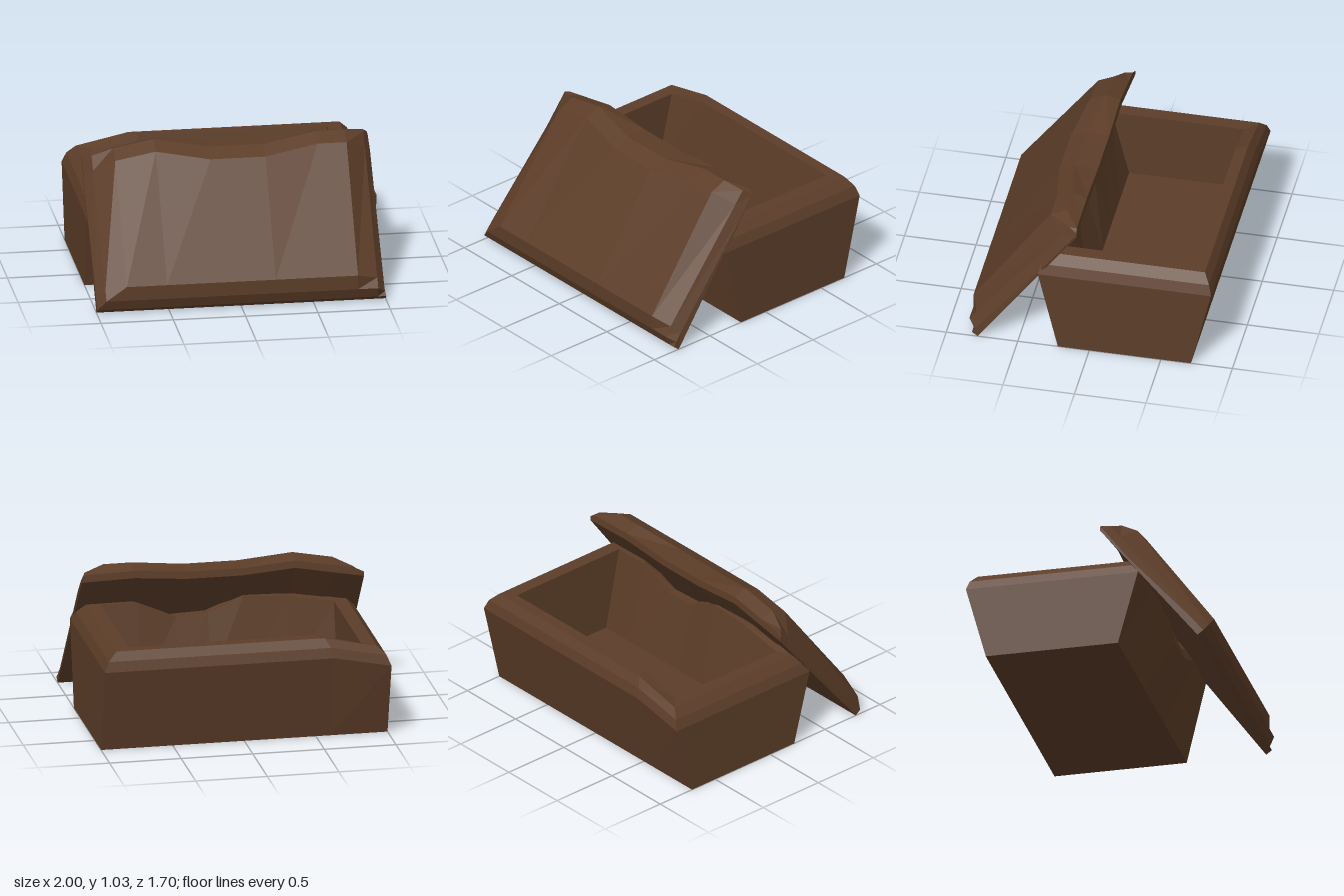
import * as THREE from 'three';

const material = new THREE.MeshStandardMaterial({ color: 0x5c3d28, flatShading: true });

// Collects triangles and turns them into a faceted mesh
function faceter(name) {
  const pos = [];
  const tri = (a, b, c) => pos.push(...a, ...b, ...c);
  const quad = (a, b, c, d) => { tri(a, b, c); tri(a, c, d); };
  // Strip of quads between two rows of points
  const strip = (lo, hi) => {
    for (let i = 0; i < lo.length - 1; i++) quad(lo[i], lo[i + 1], hi[i + 1], hi[i]);
  };
  const mesh = () => {
    const g = new THREE.BufferGeometry();
    g.setAttribute('position', new THREE.Float32BufferAttribute(pos, 3));
    g.computeVertexNormals();
    const m = new THREE.Mesh(g, material);
    m.name = name;
    return m;
  };
  return { tri, strip, mesh };
}

// Piecewise linear curve through [x, value] points
function curve(points, x) {
  for (let i = 1; i < points.length; i++) {
    const [x0, v0] = points[i - 1], [x1, v1] = points[i];
    if (x <= x1) return v0 + (v1 - v0) * Math.max(0, (x - x0) / (x1 - x0));
  }
  return points[points.length - 1][1];
}

// Open box: rings from the foot over the worn rim down to the inner floor
function makeBox() {
  const f = faceter('box');
  const xs = [-1, -0.6, -0.22, 0.08, 0.35, 0.68, 1];
  const frontWear = [[-1, 0.08], [-0.6, 0.02], [-0.22, 0], [0.08, 0.11], [0.35, 0.12], [0.68, 0], [1, 0]];
  const backWear = [[-1, 0.08], [-0.6, 0], [1, 0]];
  // half width, height, front z, back z, share of wear
  const levels = [
    [1, 0, 0.22, -0.71, 0],
    [1, 0.6, 0.36, -0.85, 1],
    [0.97, 0.67, 0.345, -0.83, 1],
    [0.91, 0.73, 0.29, -0.79, 1],
    [0.815, 0.73, 0.22, -0.71, 1],
    [0.815, 0.15, 0.1, -0.59, 0],
  ];
  const rows = levels.map(([w, y, zf, zb, k]) => ({
    front: xs.map(x => [x * w, y - k * curve(frontWear, x), zf]),
    back: xs.map(x => [x * w, y - k * curve(backWear, x), zb]),
  }));
  const ring = r => [...r.front, ...[...r.back].reverse(), r.front[0]];
  for (let i = 0; i < rows.length - 1; i++) f.strip(ring(rows[i]), ring(rows[i + 1]));
  const foot = rows[0], floor = rows[rows.length - 1];
  f.strip(foot.back, foot.front);
  f.strip(floor.front, floor.back);
  return f.mesh();
}

// Bevelled slab leaning on the front of the box, with a wavy top edge
function makeLid() {
  const f = faceter('lid');
  const xs = [-1, -0.94, -0.8, -0.52, -0.15, 0.23, 0.6, 0.8, 0.94, 1];
  const caps = [0.047, 0.114, 0.3, 0.3, 0.3, 0.3, 0.3, 0.3, 0.114, 0.047];
  const edgeDrop = [[-1, 0.09], [-0.52, 0], [-0.15, 0.03], [0.23, 0.03], [0.6, 0], [1, 0.01]];
  const slide = [[-0.52, 0], [-0.15, 0.6], [0.23, 0.6], [0.6, 0]];
  // distance up the slope, thickness
  const profile = [[-0.005, 0.047], [0.032, 0.114], [0.11, 0.175], [1.055, 0.23], [1.165, 0.174], [1.203, 0.077]];
  const taper = (x, r) => (x === 1 ? 1 - 0.006 * r : x);

  const grid = profile.map(([u, n], r) => xs.map((x, i) => {
    const t = Math.min(n, caps[i]);
    let z = 0.78 - 0.616 * u + 0.788 * t;
    let y = 0.005 + 0.788 * u + 0.616 * t;
    if (r > 2) {
      const s = curve(slide, x), d = curve(edgeDrop, x);
      const left = x < -0.52 ? d : 0;
      if (r === 5) y -= d;
      else { z += 0.1 * s; y -= 0.09 * s + left; }
    }
    return [taper(x, r), y, Math.max(z, 0.095)];
  }));
  const low = xs.map(x => [x, 0, 0.78]);
  const high = xs.map(x => [taper(x, 5), 0.95 - curve(edgeDrop, x), 0.095]);

  // Underside, lower edge, face and upper edge
  const loop = [low, ...grid, high, low];
  for (let r = 0; r < loop.length - 1; r++) f.strip(loop[r], loop[r + 1]);

  // Side edges
  const last = xs.length - 1;
  for (let r = 1; r < loop.length - 2; r++) {
    f.tri(low[0], loop[r][0], loop[r + 1][0]);
    f.tri(low[last], loop[r + 1][last], loop[r][last]);
  }
  return f.mesh();
}

export function createModel() {
  const group = new THREE.Group();
  group.name = 'openChest';
  group.add(makeBox(), makeLid());
  return group;
}
